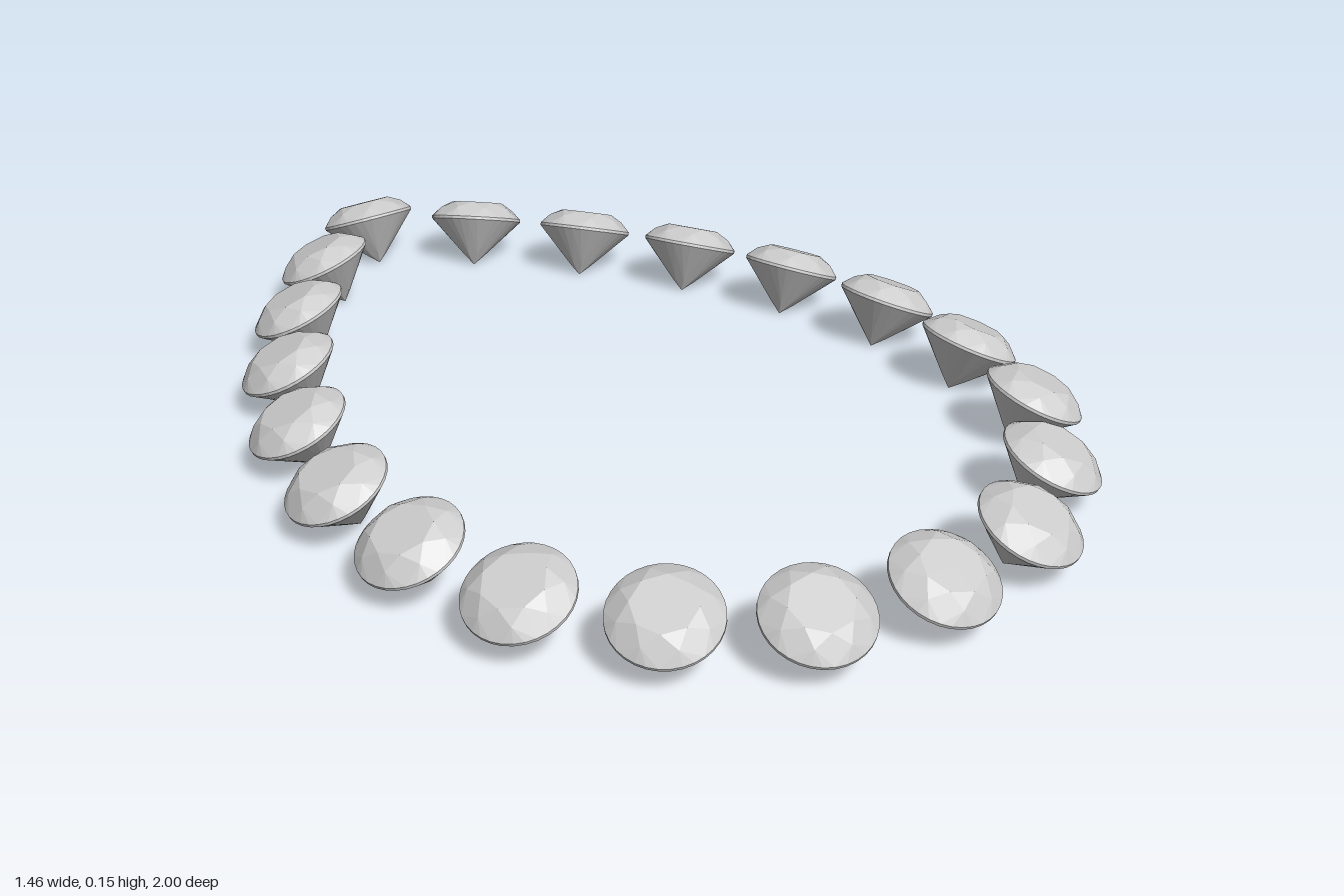
import * as THREE from 'three';

const R = 0.097, TABLE = 0.056, CROWN = 0.036, BAND = 0.003, DEPTH = 0.1, TILT = 0.43;
const EIGHTH = Math.PI / 4;

// Point at a given angle (in eighths of a turn), radius and height
const at = (step, r, y) => [Math.sin(step * EIGHTH) * r, y, Math.cos(step * EIGHTH) * r];

// Round brilliant cut: axis along +y, girdle centred on the origin
function brilliantGeometry() {
  const pos = [];
  const tri = (a, b, c) => pos.push(...a, ...b, ...c);
  const half = Math.cos(EIGHTH / 2);
  const starR = 0.079, lowR = 0.24 * R;
  const starY = BAND + (CROWN - BAND) * (R - starR * half) / (R - TABLE);
  const lowY = -DEPTH + (DEPTH - BAND) * lowR * half / R;
  const table = i => at(i, TABLE, CROWN);
  const star = i => at(i + 0.5, starR, starY);
  const low = i => at(i + 0.5, lowR, lowY);
  const top = s => at(s, R, BAND);
  const bottom = s => at(s, R, -BAND);
  const culet = [0, -DEPTH, 0];

  for (let i = 0; i < 8; i++) {
    // Table, star and kite facets
    tri([0, CROWN, 0], table(i), table(i + 1));
    tri(table(i), star(i), table(i + 1));
    tri(table(i), star(i - 1), top(i));
    tri(table(i), top(i), star(i));
    // Pavilion main facets
    tri(culet, low(i), bottom(i));
    tri(culet, bottom(i), low(i - 1));
    // Upper girdle facets, girdle band and lower girdle facets
    for (let k = 0; k < 4; k++) {
      const a = i + k / 4, b = a + 0.25;
      tri(star(i), top(a), top(b));
      tri(top(a), bottom(a), bottom(b));
      tri(top(a), bottom(b), top(b));
      tri(low(i), bottom(b), bottom(a));
    }
  }
  const geo = new THREE.BufferGeometry();
  geo.setAttribute('position', new THREE.Float32BufferAttribute(pos, 3));
  geo.computeVertexNormals();
  return geo;
}

export function createModel() {
  const group = new THREE.Group();
  group.name = 'gemRing';
  const geo = brilliantGeometry();
  const mat = new THREE.MeshStandardMaterial({ color: 0xcccccc, flatShading: true });

  // Stone centres (x, z) along one side of the pear outline, back to front
  const side = [[0, -0.913], [0.191, -0.77], [0.353, -0.585], [0.487, -0.383], [0.586, -0.164],
    [0.64, 0.073], [0.637, 0.312], [0.577, 0.545], [0.429, 0.733], [0.234, 0.87], [0, 0.909]];
  const mirrored = side.slice(1, -1).reverse().map(([x, z]) => [-x, z]);
  const ring = [...side, ...mirrored];
  const n = ring.length;

  ring.forEach(([x, z], i) => {
    const p = ring[(i + n - 1) % n], q = ring[(i + 1) % n];
    const tangent = new THREE.Vector3(q[0] - p[0], 0, q[1] - p[1]).normalize();
    // Lean each stone outward, square to the outline
    const out = new THREE.Vector3(tangent.z, 0, -tangent.x);
    const axis = out.clone().multiplyScalar(Math.sin(TILT)).setY(Math.cos(TILT));
    const front = new THREE.Vector3().crossVectors(tangent, axis);
    const gem = new THREE.Mesh(geo, mat);
    gem.name = `gem${i + 1}`;
    gem.quaternion.setFromRotationMatrix(new THREE.Matrix4().makeBasis(tangent, axis, front));
    gem.position.set(x, 0.098, z);
    group.add(gem);
  });
  return group;
}
